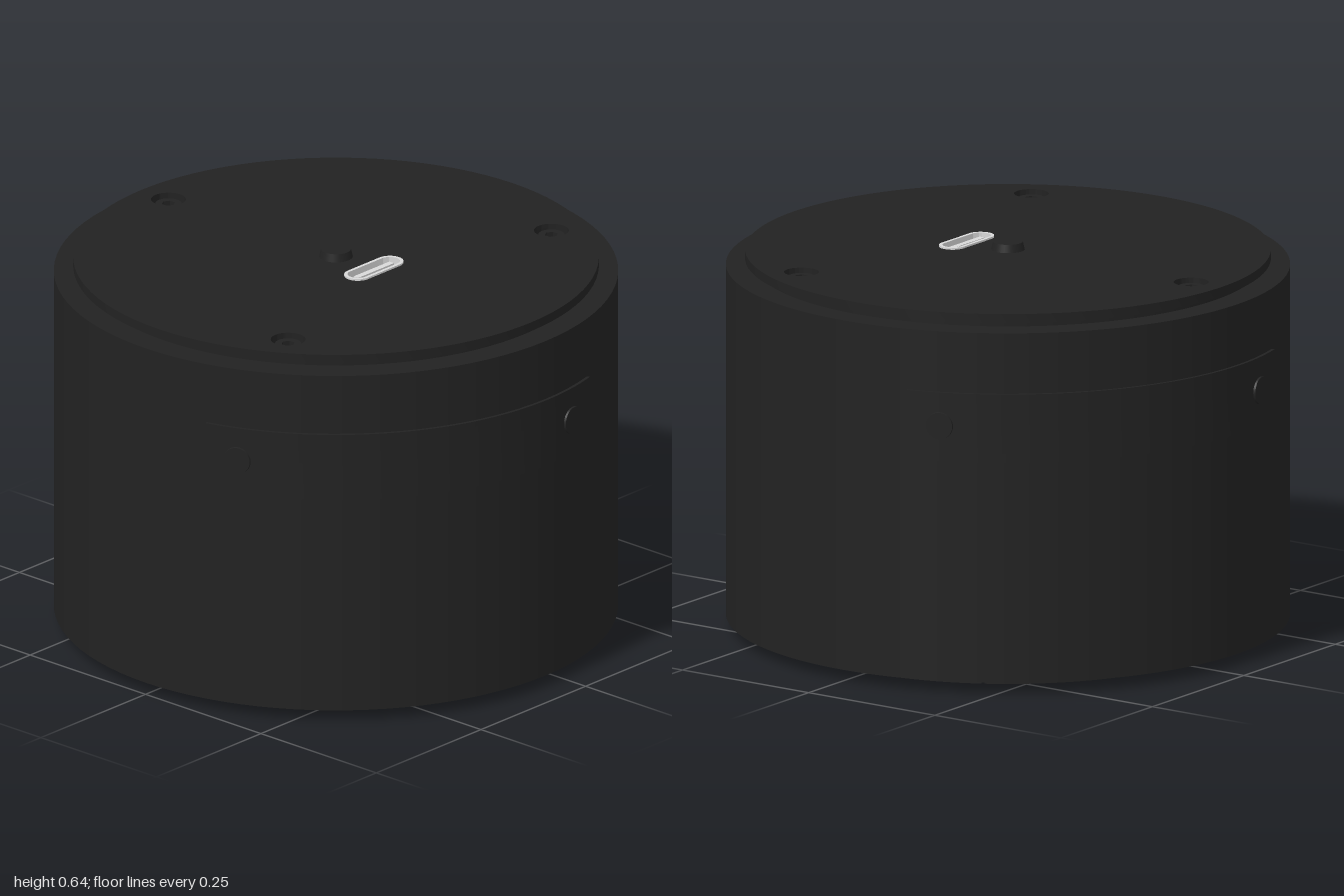
import * as THREE from 'three';
import { toCreasedNormals } from 'three/addons/utils/BufferGeometryUtils.js';

const shell = new THREE.MeshStandardMaterial({ color: 0x222222 });
shell.name = 'matte black';
const metal = new THREE.MeshStandardMaterial({ color: 0xd8d8d8 });
metal.name = 'port metal';

const SEG = 96;
const rad = THREE.MathUtils.degToRad;

export function createModel() {
  const model = new THREE.Group();
  model.name = 'cylindricalHousing';
  const device = new THREE.Group();
  device.name = 'housing';
  device.position.z = 0.545;
  model.add(device);

  const add = (name, geometry, material = shell, x = 0, y = 0, z = 0) => {
    const mesh = new THREE.Mesh(geometry, material);
    mesh.name = name;
    mesh.position.set(x, y, z);
    device.add(mesh);
    return mesh;
  };
  const disc = (name, r, y0, y1, x = 0, z = 0, seg = SEG) =>
    add(name, new THREE.CylinderGeometry(r, r, y1 - y0, seg), shell, x, (y0 + y1) / 2, z);

  // A flat outline raised from y0 to y1
  const slab = (name, shape, y0, y1, material = shell) => {
    const g = new THREE.ExtrudeGeometry(shape, { depth: y1 - y0, bevelEnabled: false, curveSegments: 48 });
    g.rotateX(-Math.PI / 2);
    return add(name, toCreasedNormals(g, 0.5), material, 0, y0, 0);
  };

  // Rounded slot outline, long in z
  const slot = (target, x, w, l) => {
    const r = w / 2, h = l / 2 - r;
    target.absarc(x, h, r, 0, Math.PI, false);
    target.absarc(x, -h, r, Math.PI, Math.PI * 2, false);
    target.closePath();
    return target;
  };

  // Main body and lid
  disc('body', 0.453, 0.523, 1.102);
  disc('lidNeck', 0.408, 1.102, 1.111);

  const portX = 0.082;
  const screws = [60, 180, 300].map(a => [0.363 * Math.cos(rad(a)), 0.363 * Math.sin(rad(a))]);
  const lid = new THREE.Shape().absarc(0, 0, 0.422, 0, Math.PI * 2, false);
  for (const [x, z] of screws) {
    lid.holes.push(new THREE.Path().absarc(x, -z, 0.028, 0, Math.PI * 2, true));
  }
  lid.holes.push(slot(new THREE.Path(), portX, 0.042, 0.118));
  slab('lid', lid, 1.111, 1.126);

  // Sunken screws with a hexagonal socket
  for (const [x, z] of screws) {
    const head = new THREE.Shape().absarc(x, -z, 0.021, 0, Math.PI * 2, false);
    const socket = new THREE.Path();
    for (let i = 0; i < 6; i++) {
      const a = -i * Math.PI / 3;
      socket[i ? 'lineTo' : 'moveTo'](x + 0.011 * Math.cos(a), -z + 0.011 * Math.sin(a));
    }
    socket.closePath();
    head.holes.push(socket);
    slab('screw', head, 1.111, 1.119);
  }

  // Centre button
  add('button', new THREE.CylinderGeometry(0.024, 0.027, 0.013, 32), shell, 0, 1.1325, 0);

  // Connector port: metal rim with a tongue inside
  const rim = slot(new THREE.Shape(), portX, 0.044, 0.12);
  rim.holes.push(slot(new THREE.Path(), portX, 0.033, 0.109));
  slab('portRim', rim, 1.111, 1.129, metal);
  add('portTongue', new THREE.BoxGeometry(0.01, 0.014, 0.085), metal, portX, 1.118, 0);

  // Curved straps on opposite sides, riveted at both ends
  for (const mid of [60, 240]) {
    const a0 = rad(mid - 45 - 90), a1 = rad(mid + 45 - 90);
    const band = new THREE.Shape();
    band.absarc(0, 0, 0.458, a0, a1, false);
    band.absarc(0, 0, 0.445, a1, a0, true);
    band.closePath();
    slab('strap', band, 0.889, 1.002);
    for (const end of [-38, 38]) {
      const a = rad(mid + end);
      const g = new THREE.CylinderGeometry(0.022, 0.024, 0.012, 32).rotateX(Math.PI / 2);
      const rivet = add('rivet', g, shell, 0.455 * Math.sin(a), 0.947, 0.455 * Math.cos(a));
      rivet.rotation.y = a;
    }
  }

  // Foot pad in three sectors with thin seams
  for (const start of [90, 210, 330]) {
    const a0 = rad(start - 90), a1 = a0 + rad(120), mid = (a0 + a1) / 2;
    const pad = new THREE.Shape();
    pad.moveTo(0.003 * Math.cos(mid), 0.003 * Math.sin(mid));
    pad.absarc(0, 0, 0.385, a0 + 0.006, a1 - 0.006, false);
    pad.closePath();
    slab('footPad', pad, 0.504, 0.523);
  }

  return model;
}
